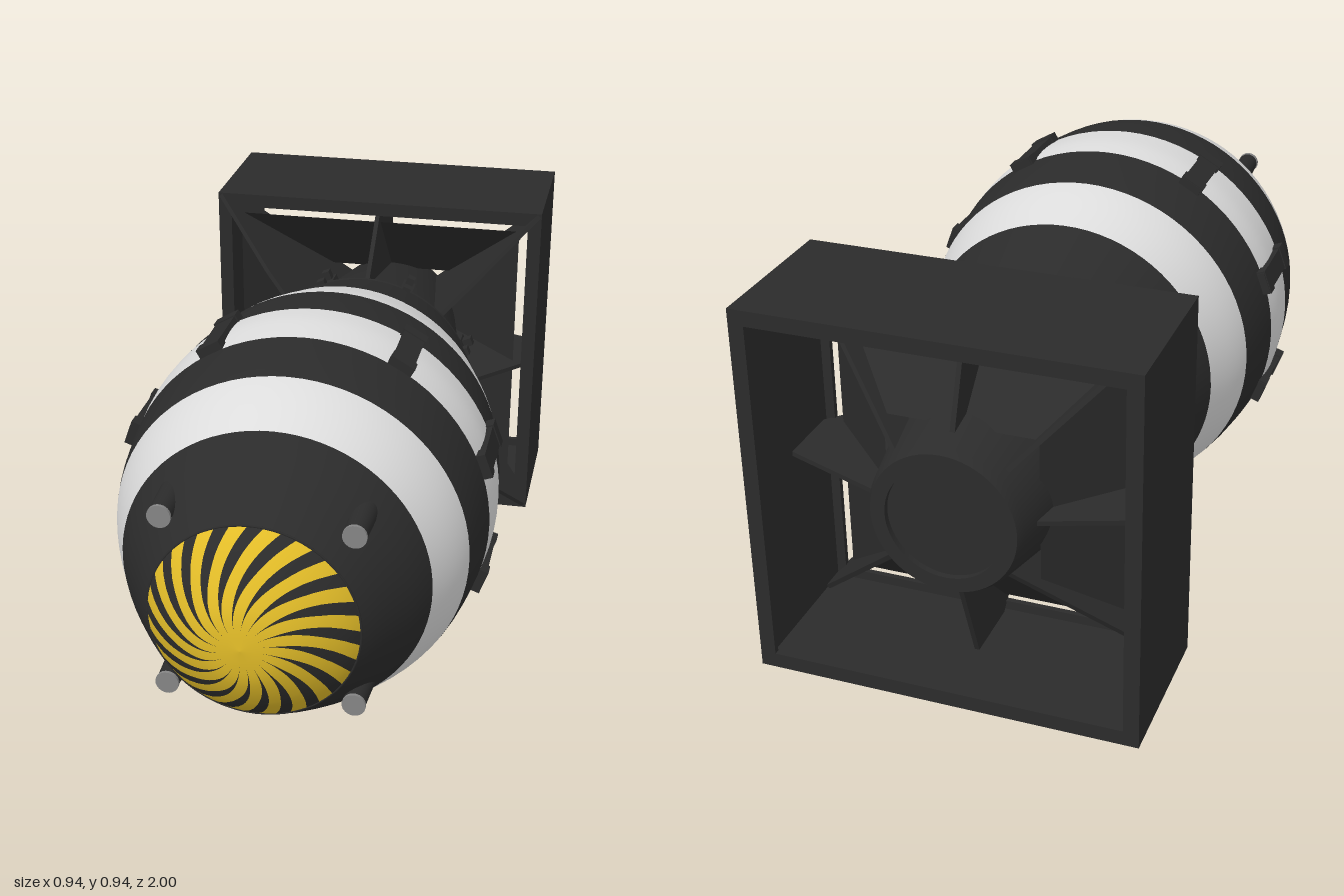
import * as THREE from 'three';
import { toCreasedNormals } from 'three/addons/utils/BufferGeometryUtils.js';

const mat = (name, color, side = THREE.FrontSide) => {
  const m = new THREE.MeshStandardMaterial({ color, side });
  m.name = name;
  return m;
};

export function createModel() {
  const black = mat('charcoal', 0x2b2b2b, THREE.DoubleSide);
  const white = mat('offWhite', 0xdcdcdc);
  const yellow = mat('yellow', 0xe2bc28);
  const grey = mat('grey', 0x858585);

  const model = new THREE.Group();
  model.name = 'model';
  const axis = new THREE.Group(); // everything is arranged around the long axis
  axis.name = 'finnedBody';
  axis.position.y = 0.47;
  model.add(axis);

  const add = (name, geometry, material, parent = axis) => {
    const mesh = new THREE.Mesh(geometry, material);
    mesh.name = name;
    parent.add(mesh);
    return mesh;
  };
  // lathe around z; profile is [radius, z] with z ascending
  const lathe = (pts, seg = 80) =>
    new THREE.LatheGeometry(pts.map(([r, z]) => new THREE.Vector2(r, z)), seg).rotateX(Math.PI / 2);
  // holder turned around the long axis; its +x points outward
  const spoke = (name, angle) => {
    const g = new THREE.Group();
    g.name = name;
    g.rotation.z = angle;
    axis.add(g);
    return g;
  };
  const box = (name, size, pos, material, parent) => {
    const m = add(name, new THREE.BoxGeometry(...size), material, parent);
    m.position.set(...pos);
    return m;
  };

  // body profile
  const curve = new THREE.SplineCurve([
    [0.31, -0.42], [0.388, -0.165], [0.438, 0], [0.462, 0.18], [0.463, 0.3], [0.435, 0.51],
    [0.37, 0.67], [0.32, 0.765], [0.245, 0.88], [0.17, 0.946], [0.09, 0.987], [0, 1],
  ].map(([r, z]) => new THREE.Vector2(r, z)));
  const samples = curve.getPoints(600);
  const radiusAt = (z) => {
    const i = Math.max(1, samples.findIndex((p) => p.y >= z));
    const a = samples[i - 1], b = samples[i];
    return THREE.MathUtils.mapLinear(z, a.y, b.y, a.x, b.x);
  };

  // painted bands
  const edges = [-0.42, -0.165, 0, 0.172, 0.345, 0.515, 0.67, 0.88];
  for (let b = 0; b < edges.length - 1; b++) {
    const pts = [];
    for (let i = 0; i <= 12; i++) {
      const z = THREE.MathUtils.lerp(edges[b], edges[b + 1], i / 12);
      pts.push([radiusAt(z), z]);
    }
    add('bodyBand', lathe(pts), b % 2 ? white : black);
  }

  // nose cap with swirling stripes: lathe columns are turned and narrowed by radius
  const stripes = 20, rows = 24;
  const nosePts = [];
  for (let i = 0; i <= rows; i++) {
    const r = 0.245 * (1 - i / rows);
    const k = samples.findIndex((p) => p.y >= 0.88 && p.x <= r + 1e-4);
    nosePts.push([r, i === 0 ? 0.88 : samples[k < 0 ? samples.length - 1 : k].y]);
  }
  const nose = lathe(nosePts, stripes * 4);
  const pos = nose.attributes.position, nor = nose.attributes.normal;
  for (let c = 0; c <= stripes * 4; c++) {
    for (let j = 0; j <= rows; j++) {
      const v = c * (rows + 1) + j, r = nosePts[j][0];
      const f = 1 - 0.47 * THREE.MathUtils.smoothstep(r, 0.04, 0.19);
      const part = [0, f / 2, f, (1 + f) / 2][c % 4];
      const a = ((Math.floor(c / 4) + part) / stripes) * Math.PI * 2 - Math.PI / 2
        - 0.6 * Math.pow(r / 0.245, 1.6);
      const n = Math.hypot(nor.getX(v), nor.getY(v));
      pos.setXY(v, r * Math.cos(a), r * Math.sin(a));
      nor.setXY(v, n * Math.cos(a), n * Math.sin(a));
    }
    if (c < stripes * 4) nose.addGroup(c * rows * 6, rows * 6, c % 4 < 2 ? 0 : 1);
  }
  add('noseCap', nose, [yellow, black]);
  add('noseSeam', new THREE.TorusGeometry(0.245, 0.003, 6, 64), black).position.z = 0.88;

  // nose plugs
  for (let i = 0; i < 4; i++) {
    const g = spoke('nosePlug', Math.PI / 4 + (i * Math.PI) / 2);
    const x = 0.312;
    add('plugStem', new THREE.CylinderGeometry(0.026, 0.032, 0.12, 20).rotateX(Math.PI / 2), black, g)
      .position.set(x, 0, 0.775);
    add('plugFace', new THREE.CylinderGeometry(0.028, 0.028, 0.008, 20).rotateX(Math.PI / 2), grey, g)
      .position.set(x, 0, 0.837);
  }

  // clamp lugs around the widest part
  for (const deg of [20, 60, 120, 160, 200, 240, 300, 340]) {
    const g = spoke('clampLug', (deg * Math.PI) / 180);
    box('lugStrap', [0.03, 0.056, 0.2], [0.463, 0, 0.245], black, g);
    for (const z of [0.165, 0.33]) box('lugPad', [0.034, 0.064, 0.035], [0.464, 0, z], black, g);
  }

  // tail cone with recessed rear plate
  add('tailCone', toCreasedNormals(lathe([
    [0, -0.95], [0.14, -0.95], [0.14, -0.965], [0.175, -0.965], [0.185, -0.945],
    [0.285, -0.43], [0.31, -0.43], [0.31, -0.418],
  ], 64), 0.5), black);

  // small brackets at the tail joint
  for (let i = 0; i < 8; i++) {
    const g = spoke('tailBracket', ((i + 0.5) * Math.PI) / 4);
    box('bracketBase', [0.03, 0.035, 0.11], [0.285, 0, -0.455], black, g);
    for (const z of [-0.415, -0.485]) box('bracketEar', [0.05, 0.022, 0.025], [0.3, 0, z], black, g);
  }

  // flat fins cut in the radius / length plane
  const fin = (name, pts, angle) => {
    const shape = new THREE.Shape(pts.map(([r, z]) => new THREE.Vector2(r, z)));
    const g = new THREE.ExtrudeGeometry(shape, { depth: 0.012, bevelEnabled: false })
      .translate(0, 0, -0.006).rotateX(Math.PI / 2);
    add(name, g, black, spoke(name + 'Holder', angle));
  };
  for (let i = 0; i < 4; i++) {
    const a = (i * Math.PI) / 2;
    fin('cornerFin', [[0.25, -0.43], [0.31, -0.43], [0.41, -0.47], [0.652, -0.61],
      [0.652, -0.68], [0.18, -0.92]], a + Math.PI / 4);
    fin('middleFin', [[0.18, -0.9], [0.26, -0.45], [0.28, -0.45], [0.455, -0.64], [0.455, -0.8]], a);

    // box tail wall with folded lips
    const wall = spoke('tailWall', a);
    box('wallPanel', [0.014, 0.936, 0.39], [0.461, 0, -0.805], black, wall);
    for (const z of [-0.617, -0.993]) box('wallLip', [0.035, 0.93, 0.014], [0.448, 0, z], black, wall);
  }

  // sloping baffles between the cone and the box
  const baffle = new THREE.CylinderGeometry(0.573, 0.262, 0.22, 4, 1, true)
    .rotateY(Math.PI / 4).rotateX(Math.PI / 2);
  add('tailBaffles', toCreasedNormals(baffle, 0.3), black).position.z = -0.74;

  return model;
}
